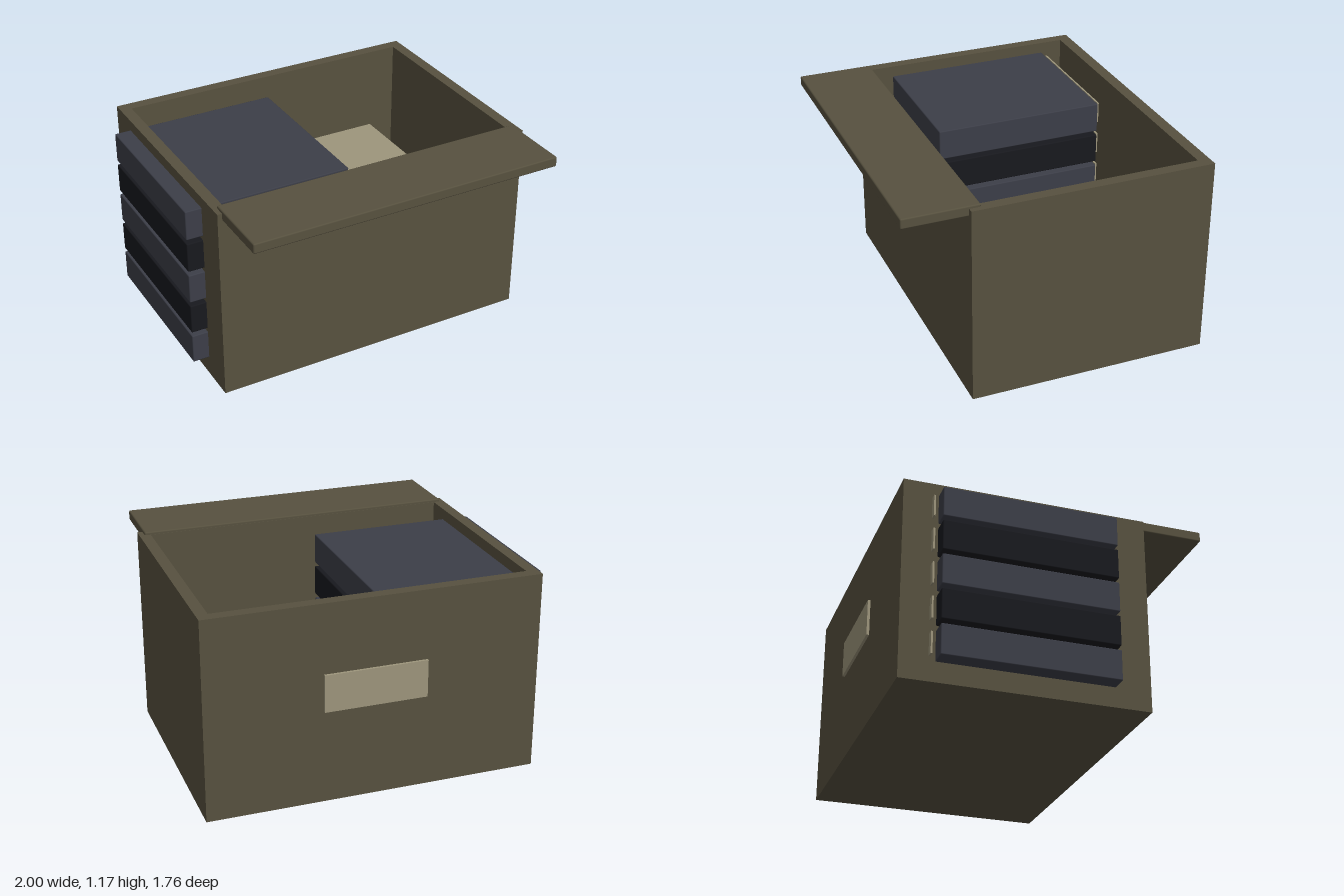
import * as THREE from 'three';
import { RoundedBoxGeometry } from 'three/addons/geometries/RoundedBoxGeometry.js';

const paint = (color) => new THREE.MeshStandardMaterial({ color });

// Box given by its lower and upper limits on each axis; bevel softens the edges
function block(name, [x0, x1], [y0, y1], [z0, z1], material, bevel = 0) {
  const size = [x1 - x0, y1 - y0, z1 - z0];
  const geometry = bevel
    ? new RoundedBoxGeometry(...size, 1, bevel)
    : new THREE.BoxGeometry(...size);
  const mesh = new THREE.Mesh(geometry, material);
  mesh.name = name;
  mesh.position.set((x0 + x1) / 2, (y0 + y1) / 2, (z0 + z1) / 2);
  return mesh;
}

function rectangle(path, x0, x1, y0, y1) {
  path.moveTo(x0, y0).lineTo(x1, y0).lineTo(x1, y1).lineTo(x0, y1).closePath();
  return path;
}

export function createModel() {
  const group = new THREE.Group();
  group.name = 'storageBox';
  const card = paint(0x57513f);
  const paper = paint(0x9d957c);
  const binderColors = [paint(0x3c3e48), paint(0x18191e)];

  // Four walls as one open frame, extruded upwards
  const outline = rectangle(new THREE.Shape(), -0.905, 0.995, -0.515, 0.865);
  outline.holes.push(rectangle(new THREE.Path(), -0.84, 0.93, -0.447, 0.797));
  const frame = new THREE.ExtrudeGeometry(outline, { depth: 1.155, bevelEnabled: false });
  frame.rotateX(-Math.PI / 2);
  const walls = new THREE.Mesh(frame, card);
  walls.name = 'walls';
  group.add(walls);

  // Floor inside the walls
  group.add(block('floor', [-0.84, 0.93], [0, 0.07], [-0.797, 0.447], card));

  // Lid slid forward over the front wall
  group.add(block('lid', [-0.878, 0.965], [1.112, 1.171], [0.45, 0.878], card, 0.008));

  // Label on the back wall
  group.add(block('backLabel', [-0.247, 0.338], [0.54, 0.755], [-0.88, -0.864], paper));

  // Stack of binders poking through the side wall, each with a spine label
  for (let i = 0; i < 5; i++) {
    const y = 0.115 + i * 0.2;
    const binder = new THREE.Group();
    binder.name = 'binder' + (i + 1);
    binder.add(
      block('cover', [-1, -0.02], [y, y + 0.175], [-0.67, 0.314], binderColors[i % 2], 0.006),
      block('spineLabel', [-0.942, -0.082], [y + 0.025, y + 0.15], [-0.706, -0.696], paper)
    );
    group.add(binder);
  }

  // Pile of paper standing beside the binders
  group.add(block('paperStack', [0.29, 0.718], [0.07, 0.7], [-0.71, 0.208], paper));

  return group;
}
